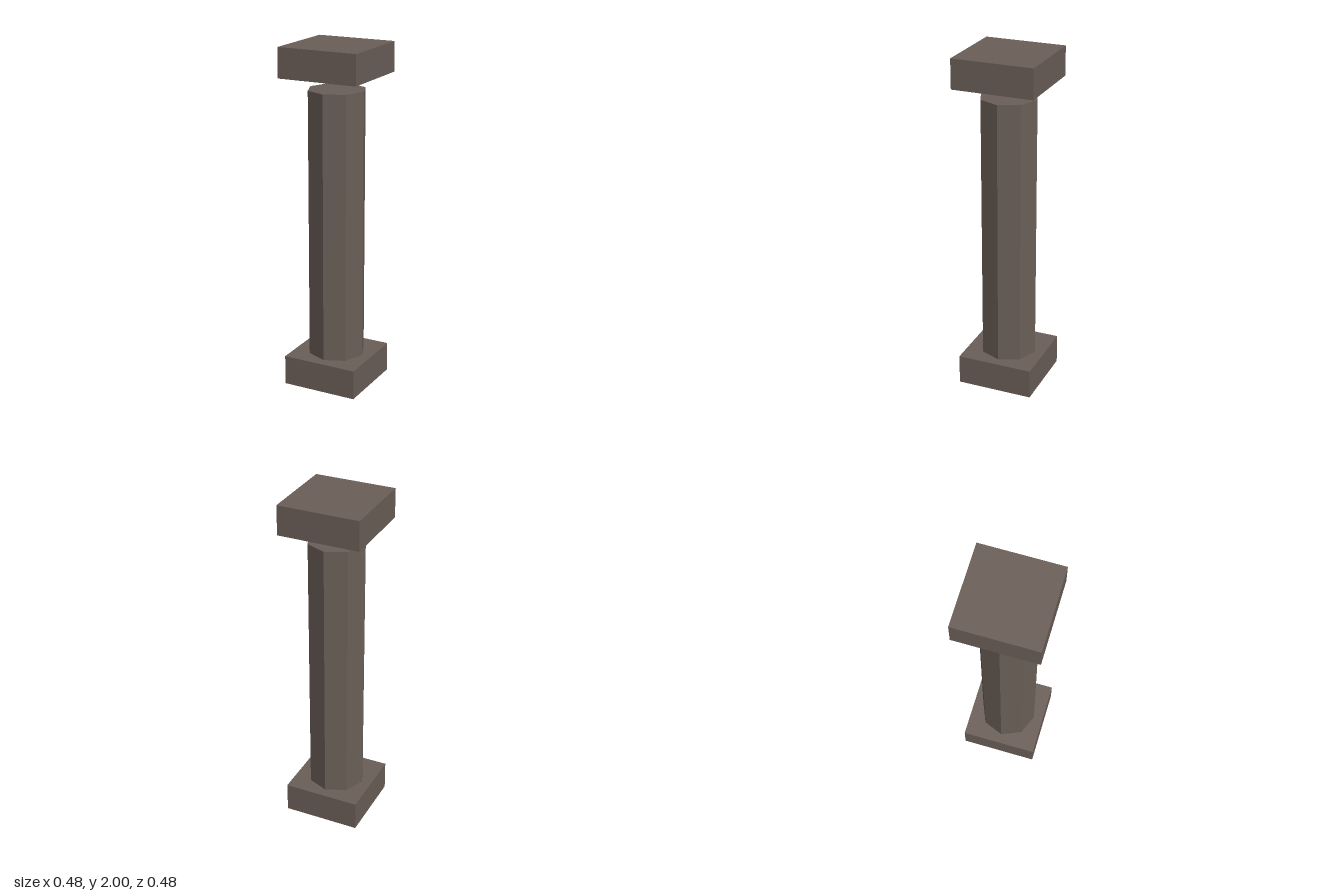
import * as THREE from 'three';

export function createModel() {
  const group = new THREE.Group();
  group.name = 'pillar';
  const stone = new THREE.MeshStandardMaterial({ color: 0x6b5f58, flatShading: true });
  stone.name = 'brown stone';

  // Places a part so that it spans the heights bottom to top
  const add = (name, geometry, bottom, top) => {
    const mesh = new THREE.Mesh(geometry, stone);
    mesh.name = name;
    mesh.position.y = (bottom + top) / 2;
    group.add(mesh);
  };
  const slab = (name, width, bottom, top) =>
    add(name, new THREE.BoxGeometry(width, top - bottom, width), bottom, top);

  // Square base
  slab('base', 0.45, 0, 0.175);
  // Octagonal shaft with corners on the axes
  add('shaft', new THREE.CylinderGeometry(0.168, 0.168, 1.575, 8), 0.175, 1.75);
  // Square capital, floating just above the shaft
  slab('capital', 0.476, 1.828, 2);

  return group;
}
